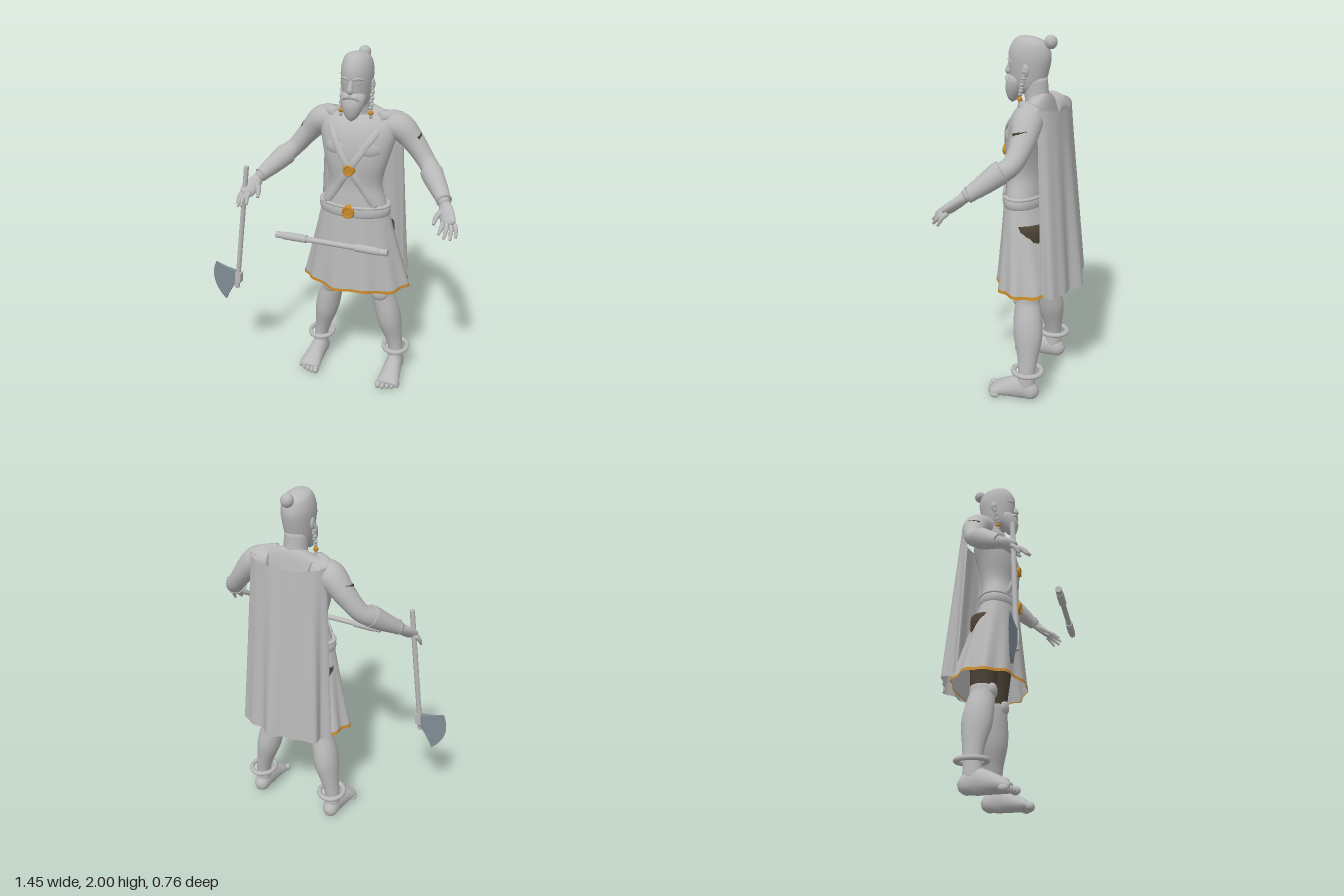
import * as THREE from 'three';
import { ParametricGeometry } from 'three/addons/geometries/ParametricGeometry.js';

const material = (name, color, side = THREE.FrontSide) => {
  const m = new THREE.MeshStandardMaterial({ color, side });
  m.name = name;
  return m;
};
const lerp = THREE.MathUtils.lerp;
const V = (x, y, z) => new THREE.Vector3(x, y, z);

// Smooth solid through rows of [x, y, z, radiusU, radiusV]; ref is the direction of radiusV
function loft(rows, n = 20, ref = V(0, 0, 1), steps = 5) {
  const path = new THREE.CatmullRomCurve3(rows.map(r => V(r[0], r[1], r[2])), false, 'catmullrom', 0.5);
  const radii = new THREE.CatmullRomCurve3(rows.map(r => V(r[3], r[4], 0)), false, 'catmullrom', 0.5);
  const count = (rows.length - 1) * steps, pos = [], idx = [];
  for (let i = 0; i <= count; i++) {
    const p = path.getPoint(i / count), r = radii.getPoint(i / count), t = path.getTangent(i / count);
    const v = ref.clone().addScaledVector(t, -t.dot(ref)).normalize();
    const u = v.clone().cross(t);
    for (let j = 0; j < n; j++) {
      const a = j / n * Math.PI * 2;
      const q = p.clone().addScaledVector(u, Math.cos(a) * Math.max(r.x, 0.001)).addScaledVector(v, Math.sin(a) * Math.max(r.y, 0.001));
      pos.push(q.x, q.y, q.z);
      if (i < count) {
        const k = (j + 1) % n, A = i * n + j, B = i * n + k;
        idx.push(A, B, B + n, A, B + n, A + n);
      }
    }
  }
  // End caps
  const first = pos.length / 3, last = count * n;
  pos.push(...path.getPoint(0).toArray(), ...path.getPoint(1).toArray());
  for (let j = 0; j < n; j++) {
    const k = (j + 1) % n;
    idx.push(first, k, j, first + 1, last + j, last + k);
  }
  const g = new THREE.BufferGeometry();
  g.setAttribute('position', new THREE.Float32BufferAttribute(pos, 3));
  g.setIndex(idx);
  g.computeVertexNormals();
  return g;
}

export function createModel() {
  const grey = material('grey', 0xb8b8b8);
  const cloth = material('greyCloth', 0xb8b8b8, THREE.DoubleSide);
  const gold = material('gold', 0xc88a2c);
  const trim = material('goldTrim', 0xc88a2c, THREE.DoubleSide);
  const brown = material('darkBrown', 0x4a4136);
  const steel = material('steel', 0x7f8c94);

  const model = new THREE.Group(), figure = new THREE.Group();
  figure.name = 'figure';
  figure.position.x = 0.098;
  model.add(figure);
  const add = (name, geo, mat = grey, parent = figure) => {
    const m = new THREE.Mesh(geo, mat);
    m.name = name;
    parent.add(m);
    return m;
  };
  const blob = (name, x, y, z, rx, ry, rz, mat = grey) => {
    const m = add(name, new THREE.SphereGeometry(1, 16, 12), mat);
    m.position.set(x, y, z);
    m.scale.set(rx, ry, rz);
    return m;
  };

  // Torso
  const torso = [
    [0, 1.05, -0.04, 0.195, 0.11], [0, 1.16, -0.04, 0.185, 0.108], [0, 1.28, -0.045, 0.152, 0.102],
    [0, 1.42, -0.05, 0.182, 0.116], [0, 1.54, -0.075, 0.212, 0.118], [0, 1.62, -0.1, 0.215, 0.09],
    [0, 1.665, -0.11, 0.16, 0.062], [0, 1.7, -0.1, 0.06, 0.05]];
  add('torso', loft(torso, 32));
  const frontZ = (x, y) => {
    const i = Math.max(0, torso.findIndex(r => r[1] > y) - 1), a = torso[i], b = torso[i + 1];
    const t = (y - a[1]) / (b[1] - a[1]), rx = lerp(a[3], b[3], t);
    return lerp(a[2], b[2], t) + lerp(a[4], b[4], t) * Math.sqrt(Math.max(0, 1 - (x / rx) ** 2));
  };

  // Head and face
  add('neck', loft([[0, 1.6, -0.1, 0.085, 0.07], [0, 1.68, -0.095, 0.066, 0.064], [0, 1.78, -0.08, 0.063, 0.07]]));
  add('head', loft([
    [0, 1.7, -0.045, 0.035, 0.05], [0, 1.74, -0.045, 0.064, 0.085], [0, 1.82, -0.05, 0.079, 0.106],
    [0, 1.9, -0.055, 0.084, 0.115], [0, 1.96, -0.062, 0.071, 0.094], [0, 1.985, -0.066, 0.045, 0.06], [0, 1.996, -0.068, 0, 0]], 28));
  add('beard', loft([
    [0, 1.648, 0.045, 0, 0], [0, 1.67, 0.042, 0.03, 0.027], [0, 1.72, 0.03, 0.057, 0.052],
    [0, 1.765, 0.012, 0.068, 0.055], [0, 1.79, 0, 0.06, 0.04]]));
  blob('topKnot', 0, 1.968, -0.168, 0.034, 0.036, 0.034);
  add('nose', loft([[0, 1.868, 0.046, 0.01, 0.01], [0, 1.835, 0.06, 0.012, 0.015], [0, 1.812, 0.065, 0.018, 0.017], [0, 1.803, 0.056, 0.01, 0.008]], 12));
  blob('lowerLip', 0, 1.757, 0.068, 0.018, 0.006, 0.008);
  for (const s of [-1, 1]) {
    add('moustache', loft([[0, 1.785, 0.064, 0.013, 0.016], [s * 0.03, 1.776, 0.056, 0.011, 0.015], [s * 0.055, 1.745, 0.034, 0.004, 0.006]], 10));
    add('eyebrow', loft([[s * 0.01, 1.868, 0.052, 0.007, 0.01], [s * 0.035, 1.876, 0.046, 0.008, 0.01], [s * 0.062, 1.866, 0.022, 0.004, 0.006]], 10));
    blob('eye', s * 0.031, 1.848, 0.042, 0.013, 0.009, 0.008);
    blob('ear', s * 0.083, 1.83, -0.06, 0.011, 0.032, 0.02);
    // Braid of overlapping knots ending in a bead
    for (let i = 0; i < 9; i++) {
      blob('braid', s * (0.082 + 0.004 * (i % 2)), 1.84 - i * 0.0165, -0.06 + i * 0.0035, 0.011, 0.0115, 0.012);
    }
    blob('braidBead', s * 0.084, 1.682, -0.03, 0.014, 0.014, 0.014, gold);
    blob('braidTip', s * 0.084, 1.663, -0.029, 0.009, 0.015, 0.009);
  }

  // Chest straps, medallion, belt and buckle
  for (const s of [-1, 1]) {
    const rows = [];
    for (let i = 0; i <= 8; i++) {
      const x = s * lerp(0.135, -0.14, i / 8), y = lerp(1.6, 1.17, i / 8);
      rows.push([x, y, frontZ(x, y) + 0.008, 0.02, 0.009]);
    }
    add('chestStrap', loft(rows, 12));
    const chest = blob('chestMuscle', s * 0.085, 1.49, 0.005, 0.085, 0.06, 0.048);
    chest.rotation.y = s * 0.35;
  }
  const band = (name, y, r, tube, h) => {
    const m = add(name, new THREE.TorusGeometry(r, tube, 10, 48));
    m.rotation.x = Math.PI / 2;
    m.position.set(0, y, -0.04);
    m.scale.set(1, 0.58, h);
  };
  band('belt', 1.135, 0.194, 0.015, 2.1);
  band('beltUpperEdge', 1.165, 0.194, 0.016, 0.6);
  for (const [name, y, z, r] of [['medallion', 1.385, 0.077, 0.035], ['buckle', 1.14, 0.076, 0.041]]) {
    const disc = add(name, new THREE.CylinderGeometry(r * 0.85, r, 0.022, 12), gold);
    disc.rotation.x = Math.PI / 2;
    disc.position.set(0, y, z);
    add(name + 'Rim', new THREE.TorusGeometry(r * 0.72, r * 0.16, 8, 24), gold).position.set(0, y, z + 0.011);
  }

  // Kilt with spreading folds and a trimmed hem
  const kilt = (v0, v1, grow) => (u, w, p) => {
    const a = u * Math.PI * 2, v = lerp(v0, v1, w);
    const k = grow + v * (0.035 * Math.sin(11 * a + 0.5) + 0.02 * Math.sin(5 * a));
    p.set(Math.cos(a) * lerp(0.198, 0.312, v) * k, lerp(1.12, 0.655, v) + 0.006 * v * Math.sin(6 * a),
      lerp(-0.04, -0.095, v) + Math.sin(a) * lerp(0.115, 0.205, v) * k);
  };
  add('kilt', new ParametricGeometry(kilt(0, 1, 1), 120, 16), cloth);
  add('kiltHem', new ParametricGeometry(kilt(0.975, 1.012, 1.008), 120, 1), trim);

  // Cape hanging from the shoulders
  add('cape', new ParametricGeometry((u, v, p) => {
    const a = (u * 2 - 1) * 1.5;
    const fold = v * (0.014 * Math.sin(a * 7 + 1) + 0.01 * Math.sin(a * 12));
    p.set(Math.sin(a) * (lerp(0.225, 0.275, v) + fold), lerp(1.64, 0.655, v) + 0.02 * (1 - v) * Math.abs(Math.sin(a)) ** 3,
      lerp(-0.165, -0.2, v) - Math.cos(a) * (lerp(0.1, 0.158, v) + fold));
  }, 72, 24), cloth);

  for (const s of [-1, 1]) {
    const limb = (name, rows, mat = grey, n = 18, ref) => add(name, loft(rows.map(r => [s * r[0], ...r.slice(1)]), n, ref), mat);

    // Arm, bracer and hand
    limb('shoulderDrape', [[0.12, 1.655, -0.06, 0.03, 0.03], [0.19, 1.645, -0.12, 0.04, 0.04], [0.215, 1.64, -0.18, 0.02, 0.02]]);
    limb('arm', [
      [0.13, 1.6, -0.11, 0.07, 0.075], [0.22, 1.598, -0.12, 0.075, 0.082], [0.3, 1.52, -0.125, 0.06, 0.066],
      [0.38, 1.425, -0.105, 0.05, 0.052], [0.43, 1.38, -0.055, 0.052, 0.052], [0.49, 1.32, 0.025, 0.042, 0.042], [0.535, 1.275, 0.095, 0.03, 0.03]]);
    limb('bracer', [
      [0.42, 1.388, -0.06, 0.058, 0.058], [0.43, 1.378, -0.045, 0.06, 0.06], [0.48, 1.33, 0.015, 0.05, 0.05],
      [0.52, 1.292, 0.066, 0.04, 0.04], [0.527, 1.286, 0.076, 0.042, 0.042]]);
    limb('armPatch', [[0.325, 1.566, -0.155, 0.006, 0.012], [0.336, 1.558, -0.12, 0.008, 0.012], [0.333, 1.55, -0.085, 0.006, 0.012]], brown, 8, V(0, 1, 0));
    limb('palm', [[0.53, 1.28, 0.085, 0.028, 0.026], [0.55, 1.25, 0.12, 0.04, 0.024], [0.572, 1.215, 0.165, 0.042, 0.02], [0.58, 1.2, 0.178, 0.03, 0.012]]);
    const tips = [[0.54, 1.17, 0.242], [0.57, 1.155, 0.25], [0.6, 1.145, 0.235], [0.622, 1.145, 0.2]];
    tips.forEach(([x, y, z], i) => {
      const bx = 0.548 + i * 0.017, by = 1.213 - i * 0.002, bz = 0.18 - i * 0.008;
      limb('finger', [[bx, by, bz, 0.013, 0.013], [(bx + x) / 2 + 0.006, (by + y) / 2 + 0.008, (bz + z) / 2, 0.012, 0.012], [x, y, z, 0.007, 0.007]], grey, 8);
    });
    limb('thumb', [[0.53, 1.255, 0.12, 0.016, 0.016], [0.508, 1.225, 0.15, 0.014, 0.014], [0.5, 1.195, 0.185, 0.008, 0.008]], grey, 8);

    // Leg, knee guard and anklet
    limb('thigh', [[0.12, 1.02, -0.08, 0.1, 0.1], [0.14, 0.8, -0.09, 0.085, 0.09], [0.15, 0.66, -0.095, 0.066, 0.075], [0.155, 0.56, -0.1, 0.058, 0.066]], brown);
    limb('lowerLeg', [
      [0.153, 0.6, -0.1, 0.064, 0.07], [0.16, 0.55, -0.1, 0.064, 0.072], [0.185, 0.46, -0.11, 0.072, 0.082], [0.205, 0.37, -0.118, 0.07, 0.082],
      [0.23, 0.26, -0.125, 0.052, 0.06], [0.247, 0.17, -0.125, 0.043, 0.05], [0.25, 0.08, -0.12, 0.046, 0.056]]);
    blob('kneeGuard', s * 0.155, 0.582, -0.05, 0.05, 0.05, 0.034);
    const anklet = add('anklet', new THREE.TorusGeometry(0.072, 0.014, 12, 36));
    anklet.position.set(s * 0.245, 0.18, -0.13);
    anklet.rotation.x = Math.PI / 2;
    anklet.scale.y = 1.12;

    // Bare foot
    limb('foot', [
      [0.25, 0.045, -0.194, 0.018, 0.022], [0.25, 0.052, -0.165, 0.044, 0.05], [0.25, 0.07, -0.1, 0.05, 0.07],
      [0.254, 0.054, -0.01, 0.058, 0.052], [0.256, 0.037, 0.055, 0.066, 0.034], [0.256, 0.03, 0.08, 0.055, 0.02]], grey, 18, V(0, 1, 0));
    for (let i = 0; i < 5; i++) {
      const r = i ? 0.014 : 0.019;
      blob('toe', s * (0.205 + i * 0.027), r + 0.009, 0.089 - i * i * 0.0025, r, r + 0.005, 0.027);
    }
  }

  // Axe held in the right hand
  const axe = new THREE.Group();
  axe.name = 'axe';
  model.add(axe);
  const haft = [V(-0.474, 1.36, 0.156), V(-0.565, 0.59, 0.19)];
  add('axeHandle', new THREE.TubeGeometry(new THREE.LineCurve3(...haft), 1, 0.014, 12), grey, axe);
  for (const p of haft) {
    const end = add('handleEnd', new THREE.SphereGeometry(0.0142, 12, 8), grey, axe);
    end.position.copy(p);
    end.scale.y = 0.3;
  }
  const shape = new THREE.Shape();
  shape.moveTo(-0.535, 0.69);
  shape.quadraticCurveTo(-0.62, 0.7, -0.7, 0.735);
  shape.quadraticCurveTo(-0.765, 0.6, -0.648, 0.49);
  shape.quadraticCurveTo(-0.6, 0.6, -0.545, 0.632);
  const blade = new THREE.ExtrudeGeometry(shape, { depth: 0.026, bevelEnabled: false, curveSegments: 16 });
  const bp = blade.attributes.position;
  for (let i = 0; i < bp.count; i++) { // taper to the cutting edge
    bp.setZ(i, 0.183 + (bp.getZ(i) - 0.013) * THREE.MathUtils.clamp((bp.getX(i) + 0.74) / 0.17, 0.08, 1));
  }
  blade.computeVertexNormals();
  add('axeBlade', blade, steel, axe);
  const socket = add('axeSocket', new THREE.BoxGeometry(0.036, 0.065, 0.034), grey, axe);
  socket.position.set(-0.552, 0.66, 0.186);
  socket.rotation.z = -0.12;

  // Short staff in front of the waist
  const staff = new THREE.Group();
  staff.name = 'staff';
  staff.position.set(0.1, 1.08, 0.355);
  staff.rotation.z = Math.PI / 2;
  model.add(staff);
  add('staffShaft', new THREE.CylinderGeometry(0.015, 0.015, 0.6, 20), grey, staff);
  for (const s of [-1, 1]) {
    add('staffEnd', new THREE.CylinderGeometry(0.018, 0.018, 0.08, 20), grey, staff).position.y = s * 0.27;
    add('staffGrip', new THREE.CylinderGeometry(0.021, 0.021, 0.13, 20), grey, staff).position.y = s * 0.2;
  }
  return model;
}
